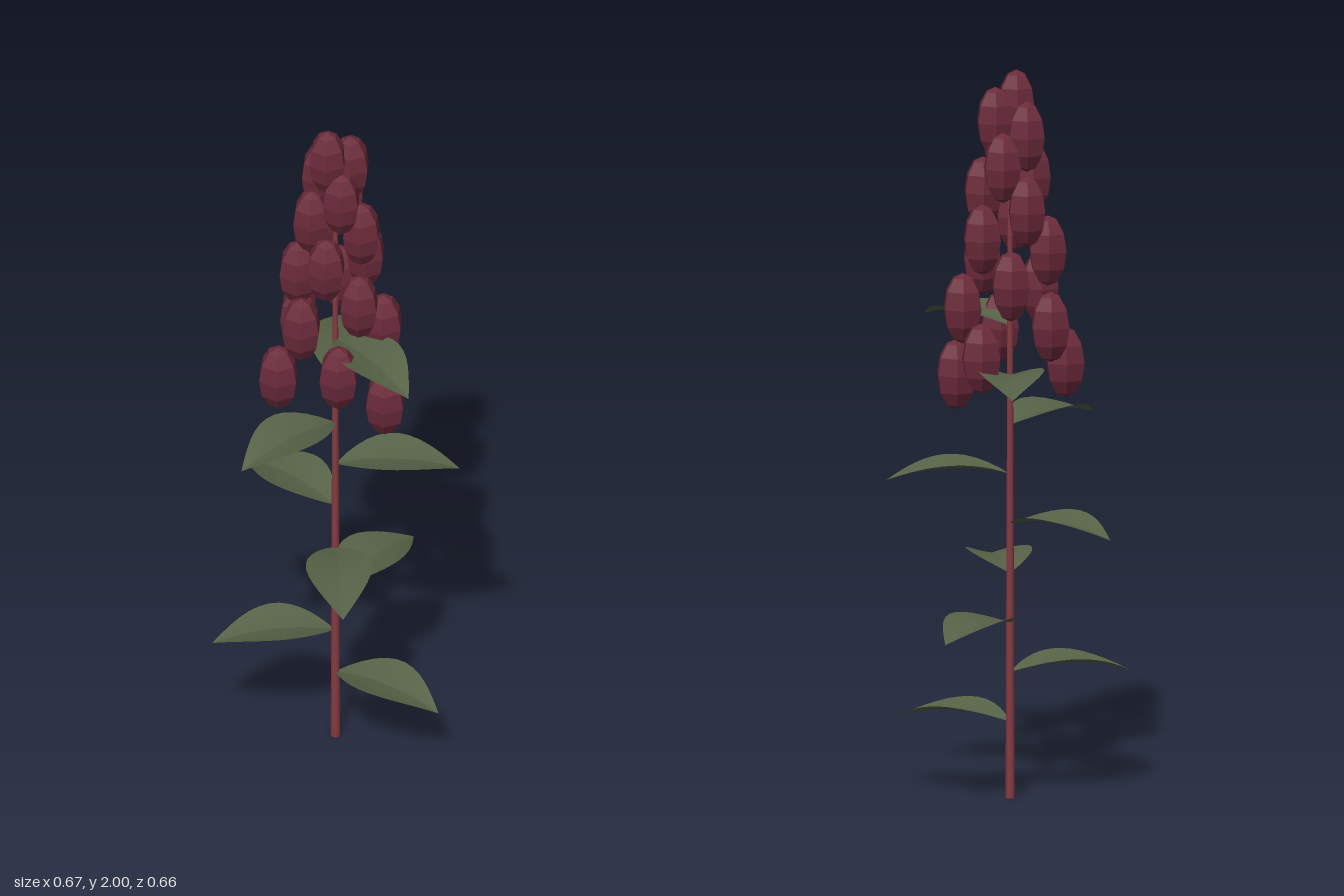
import * as THREE from 'three';

const GOLDEN = THREE.MathUtils.degToRad(137.5);
const CX = -0.005, CZ = 0.005; // stem axis

// One half of a leaf blade, growing along +x; side is +1 or -1 in z
function leafHalf(side) {
  const rows = 12, cols = 3, length = 0.338;
  const pos = [], index = [];
  for (let i = 0; i <= rows; i++) {
    const t = i / rows;
    const half = 0.09 * Math.max(0, Math.sin(Math.PI * Math.pow(t, 0.9)));
    const rib = 0.09 * t - 0.1 * t * t; // arching midrib
    for (let j = 0; j <= cols; j++) {
      const s = j / cols;
      pos.push(t * length, rib + 0.25 * half * Math.pow(s, 1.3), side * half * s);
    }
  }
  for (let i = 0; i < rows; i++) {
    for (let j = 0; j < cols; j++) {
      const a = i * (cols + 1) + j, b = a + cols + 1;
      if (side > 0) index.push(a, a + 1, b, b, a + 1, b + 1);
      else index.push(a, b, a + 1, b, b + 1, a + 1);
    }
  }
  const g = new THREE.BufferGeometry();
  g.setAttribute('position', new THREE.Float32BufferAttribute(pos, 3));
  g.setIndex(index);
  g.computeVertexNormals();
  return g;
}

export function createModel() {
  const stemMat = new THREE.MeshStandardMaterial({ color: 0x863a42 });
  stemMat.name = 'stem red';
  const leafMat = new THREE.MeshStandardMaterial({ color: 0x566246, side: THREE.DoubleSide });
  leafMat.name = 'leaf green';
  const flowerMat = new THREE.MeshStandardMaterial({ color: 0x6b2a3a, flatShading: true });
  flowerMat.name = 'blossom burgundy';

  const model = new THREE.Group();
  model.name = 'floweringPlant';

  // Tapered stem
  const stem = new THREE.Mesh(new THREE.CylinderGeometry(0.006, 0.013, 1.9, 8), stemMat);
  stem.name = 'stem';
  stem.position.set(CX, 0.95, CZ);
  model.add(stem);

  // Leaves spiralling up the stem
  const halves = [leafHalf(1), leafHalf(-1)];
  for (let i = 0; i < 9; i++) {
    const leaf = new THREE.Group();
    leaf.name = 'leaf';
    halves.forEach((g) => {
      const blade = new THREE.Mesh(g, leafMat);
      blade.name = 'leafHalf';
      leaf.add(blade);
    });
    leaf.position.set(CX, 0.21 + 0.1365 * i, CZ);
    leaf.rotation.y = -GOLDEN * i;
    model.add(leaf);
  }

  // Six-sided blossoms spiralling into a cone
  const bud = new THREE.SphereGeometry(1, 6, 6);
  for (let i = 0; i < 20; i++) {
    const a = GOLDEN * i, r = 0.163 - 0.0067 * i, w = 0.058 - 0.0002 * i;
    const blossom = new THREE.Mesh(bud, flowerMat);
    blossom.name = 'blossom';
    blossom.position.set(CX + r * Math.cos(a), 1.155 + 0.0395 * i, CZ + r * Math.sin(a));
    blossom.scale.set(w, 0.097, w);
    model.add(blossom);
  }
  return model;
}
